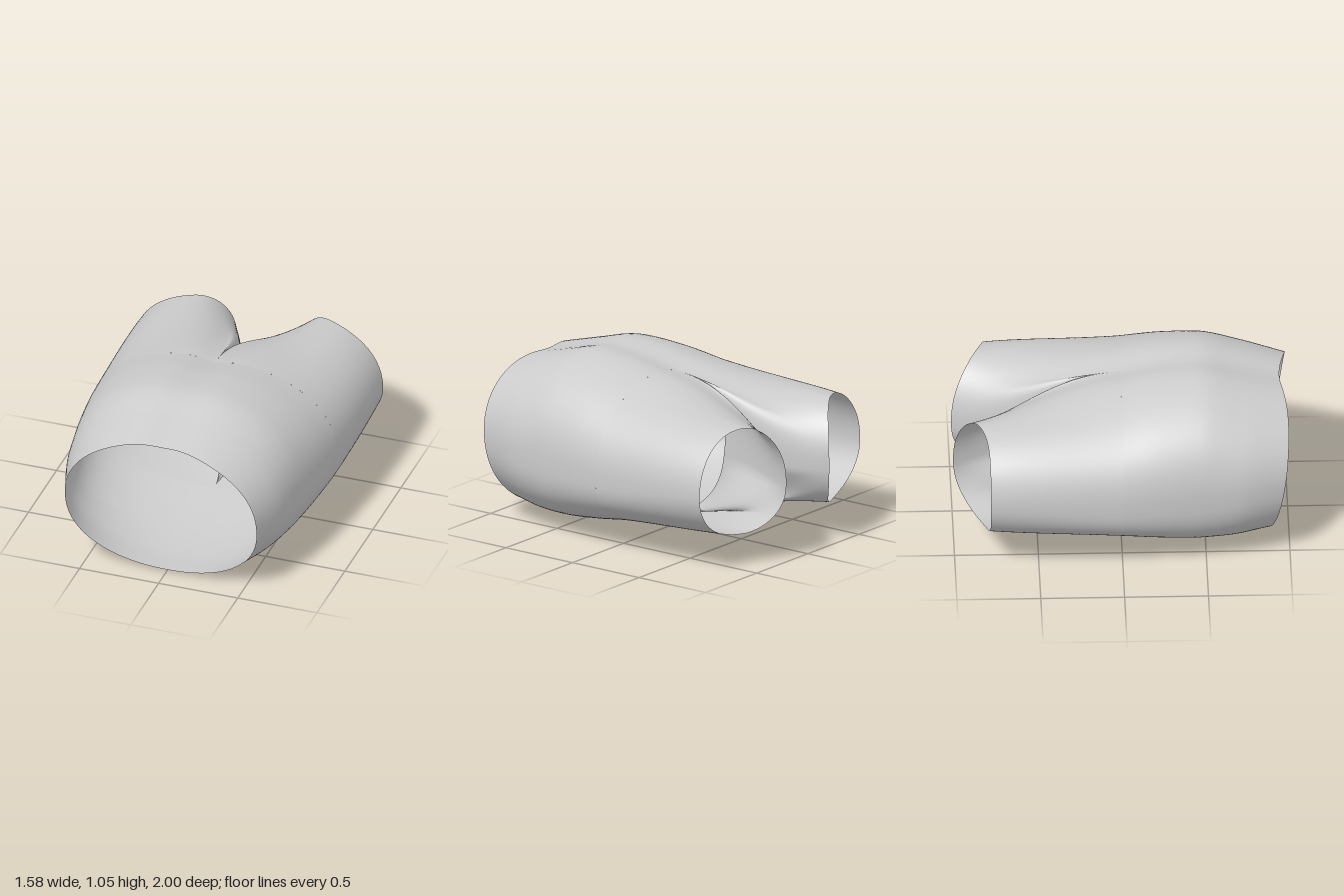
import * as THREE from 'three';
import { mergeVertices } from 'three/addons/utils/BufferGeometryUtils.js';

const V = (x, y, z) => new THREE.Vector3(x, y, z);
const fabric = new THREE.MeshStandardMaterial({ color: 0xcccccc, side: THREE.DoubleSide });

// Smooth sheet from a point function of (u, v); mirror = -1 builds the other side
function sheet(name, fn, nu, nv, mirror = 1) {
  const pos = [], index = [];
  for (let j = 0; j <= nv; j++)
    for (let i = 0; i <= nu; i++) {
      const p = fn(i / nu, j / nv);
      pos.push(p.x * mirror, p.y, p.z);
    }
  for (let j = 0; j < nv; j++)
    for (let i = 0; i < nu; i++) {
      const a = j * (nu + 1) + i, b = a + 1, c = a + nu + 1, d = c + 1;
      if (mirror > 0) index.push(a, b, c, b, d, c);
      else index.push(a, c, b, b, c, d);
    }
  let geo = new THREE.BufferGeometry();
  geo.setAttribute('position', new THREE.Float32BufferAttribute(pos, 3));
  geo.setIndex(index);
  geo = mergeVertices(geo, 1e-5); // closes the ring seam
  geo.computeVertexNormals();
  const mesh = new THREE.Mesh(geo, fabric);
  mesh.name = name;
  return mesh;
}

// Signed power, for superellipse outlines
const pow = (v, e) => Math.sign(v) * Math.abs(v) ** e;

// Half width, top and bottom height from the waist (t = 0) to the hips (t = 1)
const sizes = new THREE.CatmullRomCurve3([
  V(0.605, 0.935, 0.01), V(0.68, 1.0, 0.0), V(0.718, 1.06, 0.015),
  V(0.75, 1.045, 0.045), V(0.774, 1.0, 0.085),
]);

// Body cross-section: angle 0 is top centre, positive towards +x
function body(angle, t) {
  const s = sizes.getPoint(t);
  const full = Math.min(1, t * 2); // the oval waist becomes fuller at the hips
  const mid = 0.47 - 0.02 * full;
  const sn = Math.sin(angle), cs = Math.cos(angle);
  const x = s.x * pow(sn, 0.92);
  let y = cs > 0
    ? mid + (s.y - mid) * pow(cs, 0.92 - 0.1 * full)
    : mid + (mid - s.z) * pow(cs, 0.92 - 0.17 * full);
  if (cs > 0) y -= (0.015 + 0.02 * t) * Math.exp(-((x / 0.12) ** 2)); // centre seam dip
  // The waistline slopes back underneath and dips at the middle
  const low = Math.max(0, 0.93 - y) / 0.93;
  const dip = cs > 0 ? 0.05 * Math.exp(-((x / 0.25) ** 2)) : 0;
  const z = (1 - t) * (1.0 - 0.15 * low ** 2 - dip);
  return V(x, y, z);
}

const SPLIT = 0.72; // share of the leg ring that continues the body

// U-shaped crotch seam from the underside to the top
const crotch = new THREE.CatmullRomCurve3([
  body(Math.PI, 1).setX(0), V(0, 0.13, -0.13), V(0, 0.21, -0.24), V(0, 0.34, -0.33),
  V(0, 0.5, -0.37), V(0, 0.69, -0.37), V(0, 0.85, -0.29), V(0, 0.935, -0.16), body(0, 1),
]);

// Start of the leg: body section closed by the crotch seam
function legStart(u) {
  return u <= SPLIT ? body((u / SPLIT) * Math.PI, 1) : crotch.getPointAt((u - SPLIT) / (1 - SPLIT));
}

// Hem: opening rounder outside, squarer inside, where it reaches further back
function hem(u) {
  const deg = u <= SPLIT ? -46 + (272 * u) / SPLIT : 226 + (88 * (u - SPLIT)) / (1 - SPLIT);
  const a = THREE.MathUtils.degToRad(deg);
  const sn = Math.sin(a), cs = Math.cos(a);
  const x = 0.43 + (sn > 0 ? 0.355 : 0.22) * sn;
  const y = 0.49 + (cs > 0 ? 0.365 : 0.29) * pow(cs, sn > 0 ? 0.97 : 0.87);
  const z = -0.79 - 0.21 * Math.max(0, (0.785 - x) / 0.575) ** 2.7;
  return V(x, y, z);
}

// Leg: each line runs from the start to the hem as a cubic curve
function leg(u, v) {
  const p0 = legStart(u), p3 = hem(u);
  const reach = (p0.z - p3.z) / 3;
  const inner = Math.max(0, (0.5 - p3.x) / 0.285);
  // The underside of the crotch opens as a soft groove, the upper part as a sharp fold
  const spread = -p0.z * (0.2 + 6 * Math.max(0, 1 - p0.y / 0.45));
  const p1 = p0.clone().add(V(0.05 * p0.x + spread, (0.54 - p0.y) * 0.25, -1).multiplyScalar(reach));
  const p2 = p3.clone().sub(V(0.55 * inner - 0.04, (0.53 - p3.y) * 0.25, -1).multiplyScalar(reach));
  return new THREE.CubicBezierCurve3(p0, p1, p2, p3).getPoint(v);
}

export function createModel() {
  const shorts = new THREE.Group();
  shorts.name = 'shorts';
  shorts.add(
    sheet('waistAndHips', (u, v) => body((u * 2 - 1) * Math.PI, v), 120, 32),
    sheet('leftLeg', leg, 100, 32),
    sheet('rightLeg', leg, 100, 32, -1),
  );
  return shorts;
}
